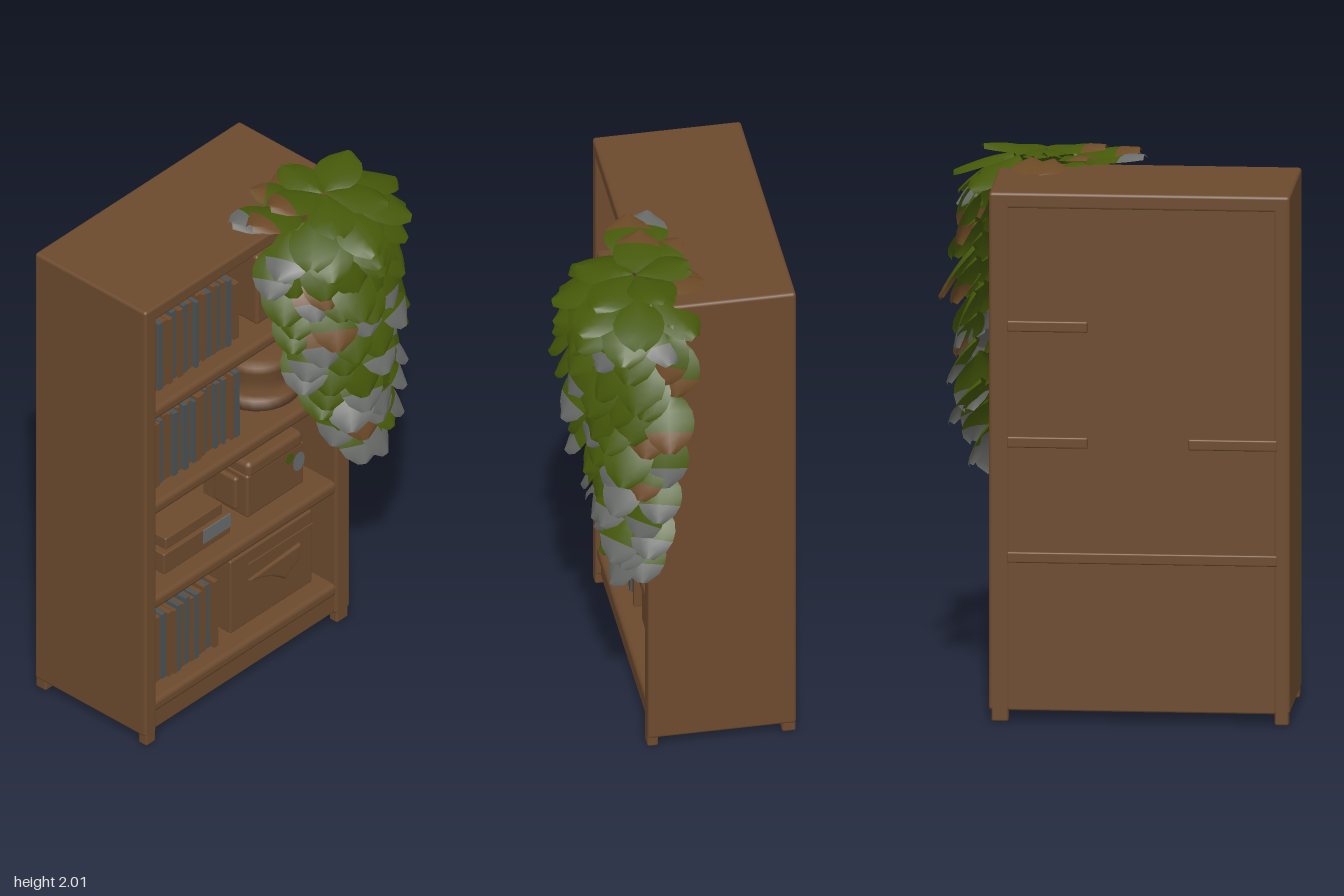
import * as THREE from 'three';
import { RoundedBoxGeometry } from 'three/addons/geometries/RoundedBoxGeometry.js';

const paint = (name, color) => {
  const m = new THREE.MeshStandardMaterial({ color });
  m.name = name;
  return m;
};

export function createModel() {
  const model = new THREE.Group();
  model.name = 'bookcaseWithPlant';
  const wood = paint('wood', 0x6c4a2d);
  const slate = paint('slate', 0x4b5153);
  const label = paint('labelGrey', 0x656a6c);
  const green = paint('leafGreen', 0x465909);
  const grey = paint('leafGrey', 0x6a6c69);
  const dry = paint('leafBrown', 0x6c4a26);
  for (const m of [green, grey, dry]) m.side = THREE.DoubleSide;

  let seed = 7;
  const rnd = () => (seed = (seed * 16807) % 2147483647) / 2147483647;

  const add = (name, geo, mat, x = 0, y = 0, z = 0, parent = model) => {
    const m = new THREE.Mesh(geo, mat);
    m.name = name;
    m.position.set(x, y, z);
    parent.add(m);
    return m;
  };
  // Box from its limits, with optional rounded edges
  const box = (name, x0, x1, y0, y1, z0, z1, r = 0, mat = wood, parent = model) => {
    const s = [x1 - x0, y1 - y0, z1 - z0];
    const geo = r ? new RoundedBoxGeometry(...s, 2, r) : new THREE.BoxGeometry(...s);
    return add(name, geo, mat, (x0 + x1) / 2, (y0 + y1) / 2, (z0 + z1) / 2, parent);
  };

  // Case: sides, feet, top, back, shelves and plinths
  for (const [x0, x1, f0, f1] of [[-0.645, -0.585, -0.64, -0.59], [0.36, 0.435, 0.365, 0.425]]) {
    box('sidePanel', x0, x1, 0.04, 1.93, -0.43, 0.11, 0.012);
    for (const [z0, z1] of [[-0.43, -0.38], [0.07, 0.11]]) box('foot', f0, f1, 0, 0.07, z0, z1, 0.008);
  }
  box('topPanel', -0.645, 0.435, 1.87, 1.93, -0.43, 0.11, 0.012);
  box('backPanel', -0.62, 0.38, 0.05, 1.91, -0.427, -0.405);
  for (const y of [0.145, 0.6, 1.02, 1.443]) box('shelf', -0.6, 0.38, y - 0.027, y + 0.027, -0.42, 0.105, 0.02);
  box('frontPlinth', -0.6, 0.38, 0.035, 0.12, 0.05, 0.09, 0.008);
  box('backPlinth', -0.6, 0.38, 0.04, 0.12, -0.426, -0.4, 0.008);

  // Shelf ends showing through the back
  for (const [x0, x1, y] of [[0.08, 0.37, 1.443], [0.08, 0.37, 1.02], [-0.6, -0.28, 1.02], [-0.6, 0.37, 0.6]]) {
    box('shelfBackEdge', x0, x1, y - 0.02, y + 0.02, -0.434, -0.42, 0.006);
  }

  // Rows of upright books
  const bookRow = (x0, x1, y, h) => {
    const row = new THREE.Group();
    row.name = 'bookRow';
    model.add(row);
    let x = x0;
    for (let i = 0; x < x1 - 0.015; i++) {
      const w = 0.012 + rnd() * 0.012;
      const b = box('book', x, x + w, y, y + h * (0.94 + 0.06 * rnd()), -0.15, 0.025 + 0.02 * rnd(), 0,
        [0, 2, 5].includes(i % 7) ? slate : wood, row);
      b.rotation.z = (rnd() - 0.5) * 0.02;
      x += w + 0.005;
    }
  };
  bookRow(-0.54, -0.1, 1.468, 0.305);
  bookRow(-0.54, -0.08, 1.046, 0.29);
  bookRow(-0.53, -0.19, 0.17, 0.295);
  box('shortBook', -0.09, -0.065, 1.468, 1.715, -0.14, 0.03);

  // Lying books
  box('lyingBook', -0.46, -0.11, 0.625, 0.715, -0.24, 0.03, 0.006);
  box('bookLabel', -0.255, -0.112, 0.655, 0.712, 0.028, 0.034, 0, label);
  box('lyingBook', -0.44, -0.14, 0.72, 0.77, -0.22, 0.02, 0.006);

  // Lidded box with side handles
  box('casket', -0.01, 0.29, 0.626, 0.81, -0.2, 0.02, 0.01);
  box('casketLid', -0.005, 0.285, 0.795, 0.86, -0.205, 0.022, 0.02);
  for (const x of [-0.015, 0.3]) box('casketHandle', x - 0.014, x + 0.014, 0.65, 0.79, -0.13, -0.02, 0.012);
  const spot = add('casketSpot', new THREE.CircleGeometry(0.031, 12), label, 0.257, 0.738, 0.024);
  spot.scale.y = 1.3;
  add('casketSpot', new THREE.CircleGeometry(0.022, 10), green, 0.21, 0.775, 0.024);

  // Turned bowl with a lid on its dish
  const profile = [[0, 0.03], [0.1, 0.03], [0.16, 0.04], [0.168, 0.09], [0.13, 0.085], [0.105, 0.09],
    [0.12, 0.14], [0.118, 0.175], [0.128, 0.18], [0.12, 0.2], [0.08, 0.21], [0, 0.21]].map(p => new THREE.Vector2(...p));
  add('bowl', new THREE.LatheGeometry(profile, 28), wood, 0.148, 1.046, -0.08);
  box('storageBox', 0.03, 0.3, 1.468, 1.77, -0.2, 0.03, 0.012);

  // Storage bin with a swept pull
  box('bin', -0.11, 0.32, 0.172, 0.49, -0.32, 0.03, 0.006);
  box('binLip', -0.02, 0.32, 0.425, 0.435, 0.025, 0.036);
  const pull = new THREE.Shape();
  pull.moveTo(-0.01, 0.365);
  pull.lineTo(0.24, 0.375);
  pull.lineTo(0.24, 0.33);
  pull.quadraticCurveTo(0.19, 0.31, 0.17, 0.28);
  pull.quadraticCurveTo(0.09, 0.35, -0.01, 0.365);
  add('binPull', new THREE.ExtrudeGeometry(pull, { depth: 0.004, bevelSize: 0.01, bevelThickness: 0.014, bevelSegments: 3 }),
    wood, 0, 0, 0.025);

  // Arched leaf blade, one unit long, with separate groups for blade and tip
  const leafGeo = new THREE.PlaneGeometry(2, 1, 4, 6);
  const widths = [0.2, 0.66, 0.92, 1, 0.94, 0.72, 0.22];
  const pos = leafGeo.attributes.position;
  for (let i = 0; i < pos.count; i++) {
    const t = 0.5 - pos.getY(i);
    const u = pos.getX(i);
    pos.setXYZ(i, u * 0.4 * widths[Math.round(t * 6)], -0.13 * t * t - 0.08 * u * u, t);
  }
  leafGeo.clearGroups();
  leafGeo.addGroup(0, 96, 0);
  leafGeo.addGroup(96, 48, 1);
  leafGeo.computeVertexNormals();

  const plant = new THREE.Group();
  plant.name = 'trailingPlant';
  model.add(plant);
  const leaf = (x, y, z, azimuth, pitch, length, base, tip) => {
    const m = add('leaf', leafGeo, [base, tip], x, y, z, plant);
    m.rotation.set(pitch, azimuth, 0, 'YXZ');
    m.scale.setScalar(length);
  };

  // Brown leaves lying at the back, on top of the case
  leaf(0.32, 1.962, 0.06, Math.PI + 0.1, 0, 0.18, dry, dry);
  leaf(0.24, 1.957, 0.06, Math.PI - 0.25, 0, 0.18, dry, dry);

  // Crown: overlapping rings of broad leaves, the rear ones tilted up
  for (const [n, r, y, pitch, len] of [[5, 0.01, 1.968, 0.08, 0.22], [8, 0.11, 1.962, 0.28, 0.23], [10, 0.15, 1.945, 0.55, 0.23]]) {
    for (let i = 0; i < n; i++) {
      const a = ((i + 0.5 + r * 3) / n) * Math.PI * 2;
      const sx = Math.sin(a), cz = Math.cos(a);
      const x = 0.275 + sx * r * 1.05, z = 0.13 + cz * r * 0.75;
      const overCase = z + cz * len < 0.13 && x + sx * len < 0.5;
      const reach = cz < -0.3 ? Math.min(len, (z + 0.07) / -cz) : len;
      if (reach < 0.09) continue;
      const tip = r > 0.14 && rnd() < 0.45 ? grey : overCase && sx < -0.6 ? dry : green;
      leaf(x, y + rnd() * 0.012, z, a, overCase ? -0.28 : pitch + (rnd() - 0.5) * 0.2, reach, green, tip);
    }
  }

  // Hanging leaves: rows of height, left, right, back and front
  const rows = [[1.9, 0.04, 0.51, -0.01, 0.31], [1.7, 0.09, 0.53, 0.04, 0.32], [1.45, 0.16, 0.53, 0.06, 0.27],
    [1.2, 0.3, 0.52, 0.07, 0.22], [0.98, 0.41, 0.46, 0.12, 0.16]];
  const rightEdge = [dry, dry, green, dry, dry, grey, dry, grey];
  const levels = 12;
  for (let k = 0; k < levels; k++) {
    const y = 1.9 - (0.92 * k) / (levels - 1);
    const j = Math.max(0, rows.findIndex(r => r[0] <= y + 1e-6) - 1);
    const f = (rows[j][0] - y) / (rows[j][0] - rows[j + 1][0]);
    const [, xl, xr, zb, zf] = rows[j].map((v, i) => v + (rows[j + 1][i] - v) * f);
    const n = Math.max(3, Math.round(8.5 - k * 0.5));
    for (let i = 0; i < n; i++) {
      const s = (i + (k % 2 ? 0.75 : 0.25)) / n;
      const a = -1.45 + 3.1 * s;
      const x = (xl + xr) / 2 + (Math.sin(a) * (xr - xl)) / 2;
      let z = zb + (zf - zb) * Math.max(0, Math.cos(a));
      if (x < 0.46) z = Math.max(z, 0.12);
      // Brown on the left and the right rear, grey towards the bottom right
      const roll = rnd();
      const base = k < 7 && s < 0.22 && roll < 0.3 ? dry : roll > 1 - 0.03 * k * (0.3 + s) ? grey : green;
      let tip = rnd() < 0.12 + k * 0.045 ? grey : rnd() < 0.1 ? dry : base;
      if (i === n - 1) tip = rightEdge[Math.min(k, 7)];
      leaf(x, y + (rnd() - 0.5) * 0.06, z, a * 0.8 + (rnd() - 0.5) * 0.5, 0.8 + rnd() * 0.35, 0.19 + rnd() * 0.045, base, tip);
    }
  }
  return model;
}
